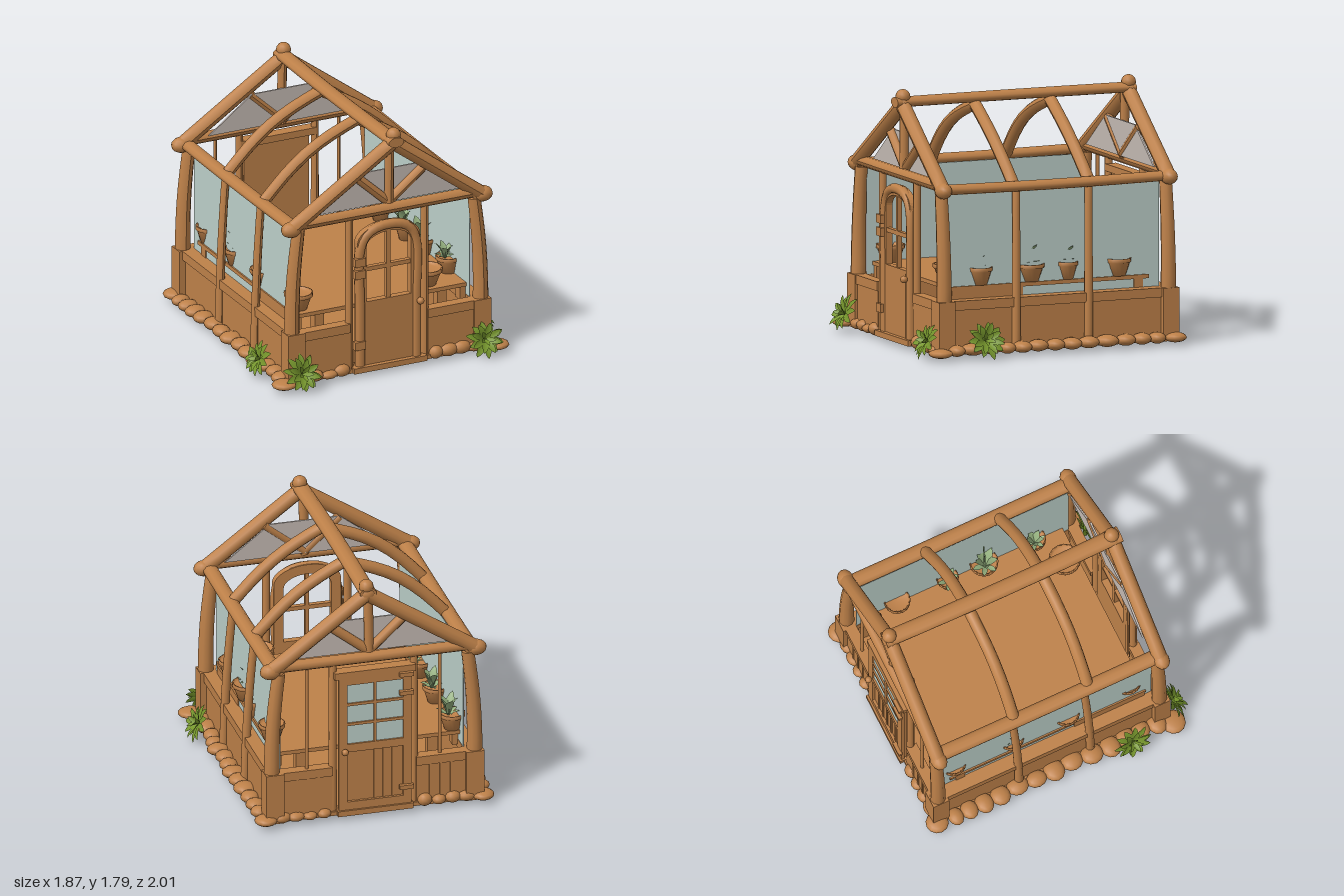
import * as THREE from 'three';

const mat = (name, color, side = THREE.FrontSide) => {
  const m = new THREE.MeshStandardMaterial({ color, side });
  m.name = name;
  return m;
};

export function createModel() {
  const wood = mat('wood', 0xbe8149);
  const clay = mat('clay', 0xc0824a, THREE.DoubleSide);
  const glass = mat('glass', 0xbdd0ca, THREE.DoubleSide);
  const gableGlass = mat('gableGlass', 0xc4bab3);
  const cream = mat('cream', 0xe0cdb4);
  const leafGreen = mat('leafGreen', 0x76962c, THREE.DoubleSide);
  const paleLeaf = mat('paleLeaf', 0x94b07e, THREE.DoubleSide);
  const V = (x, y, z) => new THREE.Vector3(x, y, z);

  const root = new THREE.Group();
  root.name = 'greenhouse';
  let seed = 7;
  const rnd = () => ((seed = (seed * 16807) % 2147483647) / 2147483647);

  const add = (name, geo, material, x = 0, y = 0, z = 0, parent = root) => {
    const m = new THREE.Mesh(geo, material);
    m.name = name;
    m.position.set(x, y, z);
    parent.add(m);
    return m;
  };
  // box given by its min and max corners
  const box = (name, x0, x1, y0, y1, z0, z1, material = wood) =>
    add(name, new THREE.BoxGeometry(x1 - x0, y1 - y0, z1 - z0), material,
      (x0 + x1) / 2, (y0 + y1) / 2, (z0 + z1) / 2);
  // log from a to b, tapered, bowed along its length and optionally flattened
  const log = (name, a, b, r0, r1 = r0, bow = V(0, 0, 0), flat = 1) => {
    const len = a.distanceTo(b);
    const geo = new THREE.CylinderGeometry(r1, r0, len, 10, 8).scale(1, 1, flat);
    const q = new THREE.Quaternion().setFromUnitVectors(V(0, 1, 0), b.clone().sub(a).normalize());
    const p = geo.attributes.position, v = V(0, 0, 0), mid = a.clone().lerp(b, 0.5);
    for (let i = 0; i < p.count; i++) {
      v.fromBufferAttribute(p, i);
      const k = Math.sin(Math.PI * (v.y / len + 0.5));
      v.applyQuaternion(q).add(mid).addScaledVector(bow, k);
      p.setXYZ(i, v.x, v.y, v.z);
    }
    geo.computeVertexNormals();
    return add(name, geo, wood);
  };
  const ball = (name, x, y, z, rx, ry, rz) => {
    const m = add(name, new THREE.SphereGeometry(1, 12, 8), wood, x, y, z);
    m.scale.set(rx, ry, rz);
    return m;
  };

  const ZF = 0.81, ZB = -0.89, RX = 0.045; // gable planes and ridge offset

  // floor and inner table
  box('floor', -0.77, 0.77, 0.03, 0.06, -0.93, 0.85);
  box('tableTop', -0.67, 0.67, 0.46, 0.488, -0.77, 0.725);

  for (const s of [-1, 1]) {
    const span = (name, a, b, ...rest) => box(name, Math.min(s * a, s * b), Math.max(s * a, s * b), ...rest);
    // table legs and apron
    for (const z of [-0.69, 0.68]) {
      span('tableLeg', 0.435, 0.505, 0.06, 0.46, z - 0.035, z + 0.035);
      span('tableLeg', 0.61, 0.667, 0.36, 0.46, z - 0.035, z + 0.035);
    }
    span('tableApron', 0.64, 0.667, 0.4, 0.46, 0.18, 0.7);
    add('backLiner', new THREE.PlaneGeometry(0.27, 0.052), cream, s * 0.465, 0.426, -0.845);
    // low side wall, cap rail and glass
    span('sideWall', 0.66, 0.735, 0.03, 0.36, -0.85, 0.76);
    span('sideRail', 0.65, 0.755, 0.335, 0.4, -0.85, 0.76);
    span('sideGlass', 0.653, 0.659, 0.4, 1.14, -0.85, 0.77, glass);
    // corner piers, corner posts and side posts
    for (const z of [ZF - 0.01, ZB]) {
      span('cornerPier', 0.65, 0.78, 0.03, 0.4, z - 0.06, z + 0.06);
      log('cornerPost', V(s * 0.725, 0.38, z), V(s * 0.675, 1.15, z), 0.055, 0.045, V(s * 0.015, 0, 0));
    }
    for (const z of [0.255, -0.29])
      log('sidePost', V(s * 0.745, 0.04, z + 0.01), V(s * 0.685, 1.15, z - 0.015), 0.032, 0.028, V(s * 0.012, 0, 0.005));
    // eave beam
    log('eaveBeam', V(s * 0.7, 1.172, -0.92), V(s * 0.7, 1.172, 0.84), 0.054, 0.054, V(0, -0.008, 0), 0.68);
    // curved inner rafters
    for (const z of [0.265, -0.3])
      log('curvedRafter', V(s * 0.68, 1.17, z - s * 0.01), V(RX, 1.65, z), 0.043, 0.043,
        V(s * (s < 0 ? 0.04 : 0.025), s < 0 ? 0.06 : 0.032, 0.012));

    for (const [z, out] of [[ZF, 1], [ZB, -1]]) {
      // gable rafters, knuckles and struts
      log('gableRafter', V(s * 0.72, 1.18, z), V(RX, 1.68, z), 0.052);
      ball('eaveKnuckle', s * 0.735, 1.17, z, 0.075, 0.056, 0.058);
      log('gableStrut', V(RX - 0.02, 1.23, z - out * 0.03), V(RX + s * 0.27, 1.46, z - out * 0.03), 0.034);
      // low end walls with rails
      span('endWall', 0.3, 0.67, 0.03, 0.36, z - 0.03, z + 0.03);
      span('endRail', 0.3, 0.67, 0.335, 0.4, z - 0.04, z + 0.04);
      log('doorPost', V(s * 0.29, 0.03, z), V(s * 0.29, 1.18, z), 0.029, 0.027);
    }
    // back battens and thin window post
    for (const x of [0.4, 0.475, 0.55]) span('backBatten', x - 0.008, x + 0.008, 0.05, 0.335, ZB - 0.036, ZB - 0.025);
    log('windowPost', V(s * 0.475, 0.4, ZB), V(s * 0.475, 1.17, ZB), 0.013);
  }

  // ridge and gable trusses
  log('ridgeBeam', V(RX, 1.697, -0.93), V(RX, 1.697, 0.87), 0.06, 0.06, V(-0.012, 0, 0), 0.62);
  for (const [z, out] of [[ZF, 1], [ZB, -1]]) {
    log('tieBeam', V(-0.72, 1.195, z), V(0.72, 1.195, z), 0.039);
    log('kingPost', V(0.025, 1.2, z - out * 0.02), V(0.03, 1.66, z - out * 0.02), 0.033);
    ball('ridgeKnot', RX + 0.005, 1.735, z, 0.052, 0.052, 0.052);
    ball('ridgeKnot', RX, 1.685, z + out * 0.005, 0.065, 0.06, 0.05);
    // gable pane
    const pane = new THREE.Shape([[-0.55, 1.22], [0.6, 1.22], [0.28, 1.47], [-0.22, 1.47]]
      .map(([x, y]) => new THREE.Vector2(x, y)));
    add('gableGlass', new THREE.ExtrudeGeometry(pane, { depth: 0.012, bevelEnabled: false }), gableGlass,
      0, 0, z - out * 0.05 - 0.006);
  }

  // arched front door with an open window
  const arch = (T, hw, y0, y1, y2) => {
    const s = new T();
    s.moveTo(-hw, y0); s.lineTo(hw, y0); s.lineTo(hw, y1);
    s.absellipse(0, y1, hw, y2 - y1, 0, Math.PI, false);
    s.lineTo(-hw, y0);
    return s;
  };
  const leaf = arch(THREE.Shape, 0.24, 0.06, 0.98, 1.11);
  leaf.holes.push(arch(THREE.Path, 0.17, 0.54, 0.95, 1.04));
  add('frontDoor', new THREE.ExtrudeGeometry(leaf, { depth: 0.05, bevelEnabled: false, curveSegments: 10 }), wood, 0, 0, 0.79);
  const rim = new THREE.CatmullRomCurve3([[-0.215, 0.07], [-0.215, 0.5], [-0.215, 0.93], [-0.17, 1.03], [-0.09, 1.075],
    [0, 1.085], [0.09, 1.075], [0.17, 1.03], [0.215, 0.93], [0.215, 0.5], [0.215, 0.07]].map(([x, y]) => V(x, y, 0.825)));
  add('doorArch', new THREE.TubeGeometry(rim, 50, 0.036, 8), wood);
  box('doorMuntin', -0.014, 0.014, 0.54, 1.04, 0.8, 0.835);
  box('doorMuntin', -0.17, 0.17, 0.765, 0.795, 0.8, 0.835);
  box('doorSill', -0.28, 0.28, 0.03, 0.07, 0.76, 0.875);
  for (const y of [0.85, 0.76, 0.23]) box('frontHinge', -0.27, -0.19, y - 0.03, y + 0.03, 0.83, 0.87);
  ball('frontKnob', 0.225, 0.49, 0.88, 0.026, 0.026, 0.026);

  // planked back door with six panes
  box('backDoor', -0.25, 0.25, 0.06, 1.1, -0.925, -0.895);
  box('backDoorHeader', -0.29, 0.29, 1.07, 1.12, -0.945, -0.86);
  box('backSill', -0.27, 0.27, 0.03, 0.07, -0.96, -0.86);
  for (const x of [-0.23, 0.23]) box('backStile', x - 0.03, x + 0.03, 0.06, 1.08, -0.945, -0.92);
  for (const y of [0.1, 0.54, 1.05]) box('backRail', -0.22, 0.22, y - 0.03, y + 0.03, -0.945, -0.92);
  box('backDoorGlass', -0.2, 0.2, 0.57, 1.02, -0.932, -0.925, glass);
  box('backMuntin', -0.01, 0.01, 0.57, 1.02, -0.943, -0.925);
  for (const y of [0.72, 0.87]) box('backMuntin', -0.2, 0.2, y - 0.01, y + 0.01, -0.943, -0.925);
  for (const x of [-0.13, -0.065, 0, 0.065, 0.13]) box('backPlankBatten', x - 0.008, x + 0.008, 0.13, 0.51, -0.933, -0.92);
  for (const y of [1.06, 0.92, 0.2]) box('backHinge', -0.27, -0.17, y - 0.015, y + 0.015, -0.97, -0.94);
  ball('backKnob', 0.22, 0.52, -0.965, 0.024, 0.024, 0.024);

  // foundation stones of varied size
  const rock = (x, z, rx, h, rz) => ball('foundationStone', x, 0.02 + h, z, rx, h, rz);
  for (const s of [-1, 1]) {
    for (let z = -0.84; z < 0.76;) {
      const r = 0.055 + rnd() * 0.03;
      rock(s * (0.77 + rnd() * 0.025), z + r, 0.06 + rnd() * 0.025, 0.034 + r * 0.1, r);
      z += r * 1.8;
    }
    for (const z of [ZF, ZB]) for (let i = 0; i < 4; i++)
      rock(s * (0.36 + i * 0.1), z + Math.sign(z) * 0.025, 0.05 + rnd() * 0.02, 0.03 + rnd() * 0.02, 0.05);
    rock(s * 0.775, -0.92, 0.08, 0.035, 0.08);
    rock(s * 0.815, 0.865, 0.09, 0.032, 0.085);
  }

  // broad folded leaf pointing along +z, swept from [z, half width, height] sections
  const sections = [[0, 0.05, 0], [0.35, 0.15, 0.02], [0.65, 0.19, 0.02], [0.87, 0.11, -0.02], [1, 0.005, -0.06]];
  const leafGeo = new THREE.BufferGeometry();
  leafGeo.setAttribute('position', new THREE.Float32BufferAttribute(
    sections.flatMap(([z, w, y]) => [-w, y + w * 0.3, z, 0, y, z, w, y + w * 0.3, z]), 3));
  const faces = [];
  for (let i = 0; i < sections.length - 1; i++)
    for (const a of [i * 3, i * 3 + 1]) faces.push(a, a + 3, a + 1, a + 1, a + 3, a + 4);
  leafGeo.setIndex(faces);
  leafGeo.computeVertexNormals();
  // rosette: rings of leaves given as [count, elevation, length]
  const rosette = (name, x, y, z, rings, material) => {
    const g = new THREE.Group();
    g.name = name;
    g.position.set(x, y, z);
    rings.forEach(([n, tilt, len], k) => {
      for (let i = 0; i < n; i++) {
        const m = add('leaf', leafGeo, material, 0, 0, 0, g);
        m.rotation.set(-tilt - rnd() * 0.15, ((i + k * 0.5) / n) * Math.PI * 2, 0, 'YXZ');
        m.scale.set(len, len, len * (0.9 + rnd() * 0.2));
      }
    });
    root.add(g);
    return g;
  };
  // ground bushes leaning out from the walls
  const bush = [[10, 0.05, 0.135], [8, 0.4, 0.125], [5, 0.85, 0.09]];
  for (const s of [-1, 1]) {
    rosette('frontBush', s * 0.7, 0.125, 0.91, bush, leafGreen).rotation.x = 1.15;
    rosette('sideBush', s * 0.84, 0.125, 0.54, bush, leafGreen).rotation.z = -s * 1.15;
  }

  // clay pots and their plants: x, z, radius, plant size
  const pots = [
    [-0.61, -0.72, 0.09, 0.13], [-0.615, -0.28, 0.09, 0.13], [-0.615, 0.14, 0.095, 0.08], [-0.585, 0.62, 0.1, 0],
    [0.63, -0.55, 0.092, 0], [0.63, -0.165, 0.078, 0.12], [0.625, 0.11, 0.1, 0.14], [0.63, 0.49, 0.088, 0.11], [0.4, 0.62, 0.11, 0]];
  for (const [x, z, r, plant] of pots) {
    const profile = [[0, 0], [0.6, 0], [0.92, 0.095], [1, 0.095], [1.02, 0.122], [0.9, 0.122], [0.84, 0.1], [0, 0.1]]
      .map(([a, b]) => new THREE.Vector2(a * r, b));
    add('pot', new THREE.LatheGeometry(profile, 16), clay, x, 0.488, z);
    const px = x - Math.sign(x) * 0.025;
    if (plant) rosette('pottedPlant', px, 0.59, z, [[6, 0.4, plant * 0.75], [5, 1.05, plant * 1.2]], paleLeaf);
  }
  const stem = add('plantStem', new THREE.CylinderGeometry(0.004, 0.006, 0.32, 5), paleLeaf, 0.62, 0.75, 0.11);
  stem.rotation.z = -0.03;

  return root;
}
